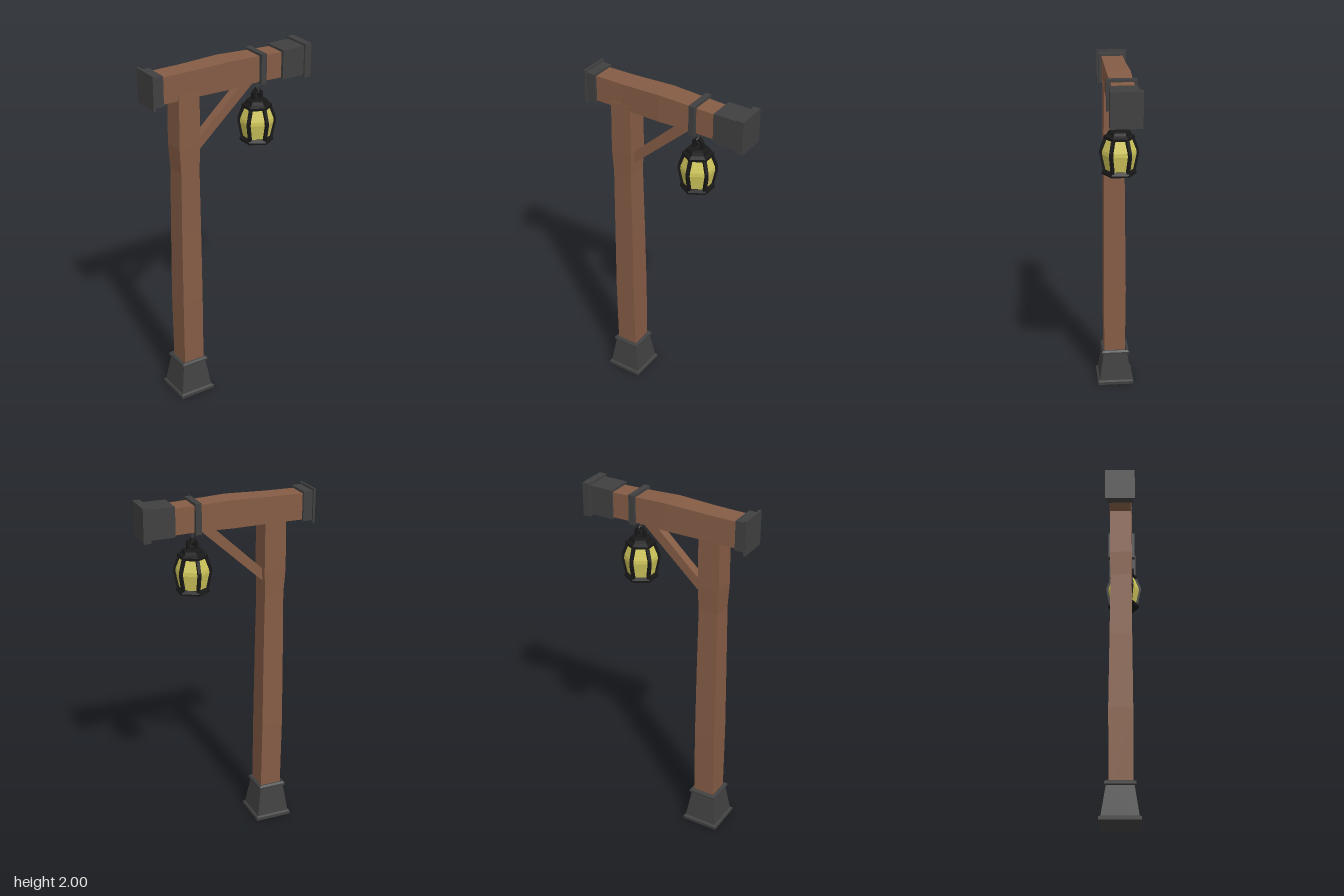
import * as THREE from 'three';

const mat = (color, extra = {}) => new THREE.MeshStandardMaterial({ color, flatShading: true, ...extra });

// Turned profile with n flat sides; points are [radius, y] from bottom to top
function turned(points, n, phi = 0) {
  return new THREE.LatheGeometry(points.map(([r, y]) => new THREE.Vector2(r, y)), n, phi);
}

// Hewn timber along y: stations are [y, x0, x1, z0, z1]
function timber(stations) {
  const n = stations.length - 1;
  const g = new THREE.BoxGeometry(1, 1, 1, 1, n, 1);
  const p = g.attributes.position;
  for (let i = 0; i < p.count; i++) {
    const [y, x0, x1, z0, z1] = stations[Math.round((p.getY(i) + 0.5) * n)];
    p.setXYZ(i, p.getX(i) < 0 ? x0 : x1, y, p.getZ(i) < 0 ? z0 : z1);
  }
  g.computeVertexNormals();
  return g;
}

// Box given by its extents
function block(x0, x1, y0, y1, z0, z1) {
  return new THREE.BoxGeometry(x1 - x0, y1 - y0, z1 - z0)
    .translate((x0 + x1) / 2, (y0 + y1) / 2, (z0 + z1) / 2);
}

export function createModel() {
  const model = new THREE.Group();
  model.name = 'lanternPost';
  const wood = mat(0x855c45);
  const iron = mat(0x404040);
  const black = mat(0x181818);
  const glass = mat(0xcfc55a);
  const add = (name, geometry, material, parent = model) => {
    const m = new THREE.Mesh(geometry, material);
    m.name = name;
    parent.add(m);
    return m;
  };

  // Square foot with a plinth, tapered body and a rim around the post
  const foot = [[0, 0], [0.108, 0], [0.108, 0.018], [0.097, 0.025], [0.073, 0.19], [0.082, 0.195],
    [0.082, 0.207], [0.073, 0.217], [0.066, 0.217], [0.064, 0.19], [0, 0.19]];
  add('foot', turned(foot.map(([h, y]) => [h * Math.SQRT2, y]), 4, Math.PI / 4), iron)
    .position.set(-0.269, 0, -0.008);

  // Upright post
  add('post', timber([
    [0.15, -0.329, -0.204, -0.066, 0.058],
    [0.62, -0.331, -0.206, -0.071, 0.06],
    [1.05, -0.328, -0.208, -0.066, 0.056],
    [1.42, -0.324, -0.212, -0.062, 0.054],
    [1.56, -0.332, -0.206, -0.067, 0.056],
    [1.86, -0.328, -0.206, -0.066, 0.054],
  ]), wood);

  // Cross beam, built upright and laid along x (x0 becomes the top)
  add('beam', timber([
    [-0.48, -1.975, -1.83, -0.068, 0.05],
    [-0.25, -1.978, -1.832, -0.07, 0.052],
    [-0.02, -1.986, -1.832, -0.075, 0.056],
    [0.17, -1.979, -1.836, -0.072, 0.05],
    [0.46, -1.97, -1.828, -0.066, 0.047],
  ]).rotateZ(-Math.PI / 2), wood);

  // Diagonal brace
  const braceShape = new THREE.Shape([
    [-0.215, 1.5], [-0.2, 1.507], [0.15, 1.825], [0.15, 1.845], [0.09, 1.845], [-0.215, 1.562],
  ].map(([x, y]) => new THREE.Vector2(x, y)));
  add('brace', new THREE.ExtrudeGeometry(braceShape, { depth: 0.05, bevelEnabled: false })
    .translate(0, 0, -0.033), wood);

  // Iron end caps: sleeve and flange
  add('rightCapSleeve', block(-0.476, -0.422, 1.825, 1.988, -0.081, 0.065), iron);
  add('rightCapFlange', block(-0.487, -0.475, 1.812, 2, -0.092, 0.075), iron);
  add('leftCapSleeve', block(0.309, 0.446, 1.825, 1.988, -0.081, 0.065), iron);
  add('leftCapFlange', block(0.445, 0.486, 1.812, 2, -0.092, 0.075), iron);

  // Strap around the beam
  add('strap', block(0.167, 0.2, 1.825, 1.992, -0.09, 0.071), iron);

  // Hanging lantern
  const lantern = new THREE.Group();
  lantern.name = 'lantern';
  lantern.position.set(0.186, 0, 0.003);
  model.add(lantern);

  // Rod and eye that carry the lantern
  add('hangerRod', new THREE.CylinderGeometry(0.007, 0.007, 0.06, 6).translate(0, 1.808, 0), iron, lantern);
  add('hangerEye', new THREE.TorusGeometry(0.019, 0.006, 6, 10).rotateY(Math.PI / 2)
    .translate(0, 1.764, 0), black, lantern);

  // Arched handle
  const arch = (w, top, bottom, c) => [[-w, bottom], [w, bottom], [w, top - c], [w - c, top],
    [c - w, top], [-w, top - c]].map(([x, y]) => new THREE.Vector2(x, y));
  const handle = new THREE.Shape(arch(0.031, 1.775, 1.715, 0.014));
  handle.holes.push(new THREE.Path(arch(0.018, 1.763, 1.725, 0.008)));
  add('handle', new THREE.ExtrudeGeometry(handle, { depth: 0.022, bevelEnabled: false })
    .translate(0, 0, -0.011), black, lantern);

  // Hexagonal roof, base and glass
  add('roof', turned([[0, 1.677], [0.082, 1.677], [0.084, 1.692], [0.064, 1.703], [0.058, 1.718],
    [0.04, 1.724], [0, 1.724]], 6), black, lantern);
  add('lanternBase', turned([[0, 1.483], [0.093, 1.483], [0.093, 1.493], [0.083, 1.51], [0, 1.51]], 6),
    black, lantern);
  add('glass', turned([[0.078, 1.505], [0.097, 1.595], [0.095, 1.615], [0.07, 1.68]], 6), glass, lantern);

  // Bent corner bars over the glass edges
  const bar = timber([
    [1.502, -0.009, 0.009, 0.07, 0.087],
    [1.595, -0.009, 0.009, 0.088, 0.105],
    [1.615, -0.009, 0.009, 0.086, 0.104],
    [1.682, -0.009, 0.009, 0.062, 0.08],
  ]);
  for (let i = 0; i < 6; i++) add('cornerBar', bar, black, lantern).rotation.y = (i * Math.PI) / 3;

  return model;
}
